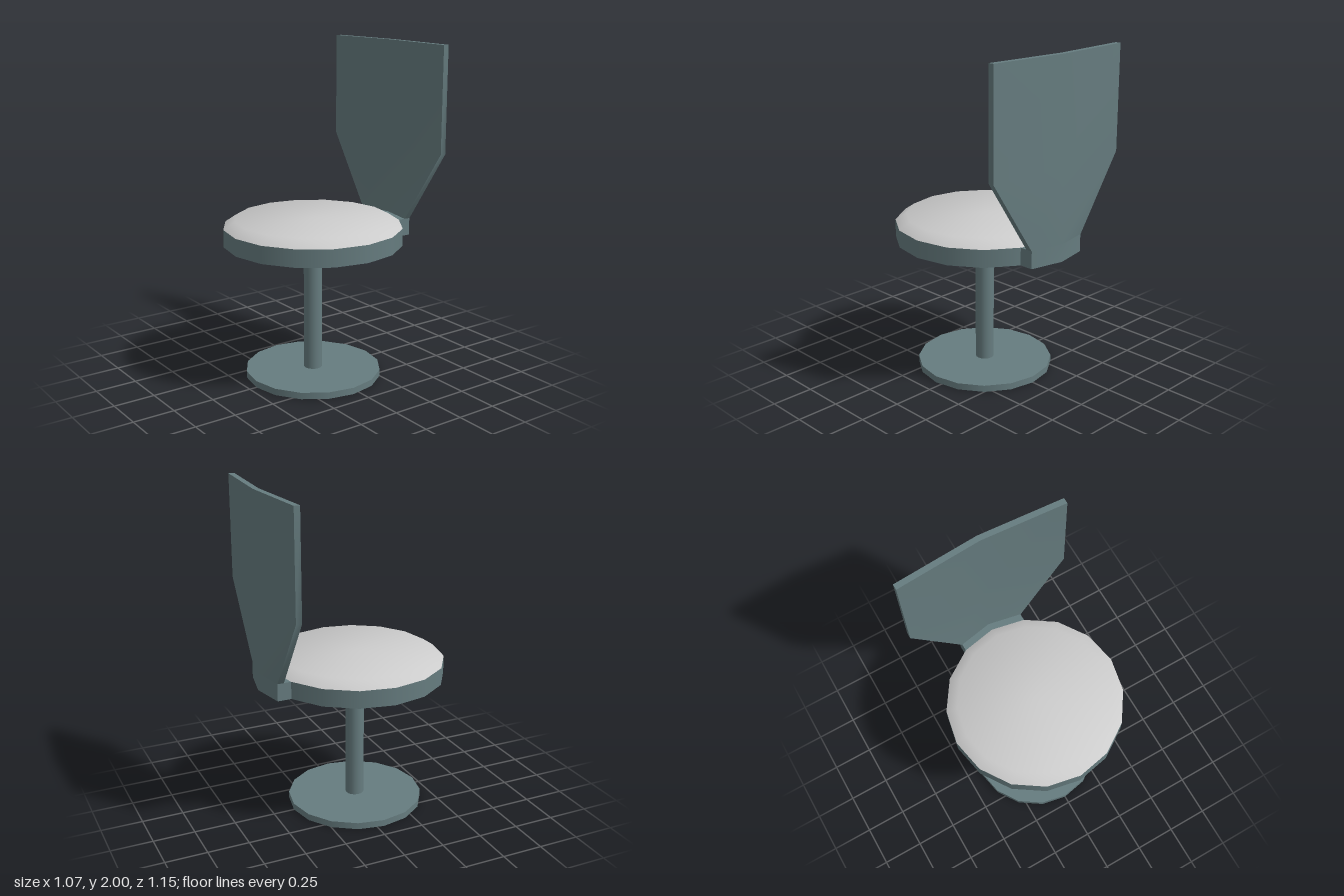
import * as THREE from 'three';
import { toCreasedNormals } from 'three/addons/utils/BufferGeometryUtils.js';

const SIDES = 16;

// Solid lofted through rows of [y, half width, front z side, front z middle, back z side, back z middle]
function loft(rows) {
  const positions = [];
  const index = [];
  for (const [y, w, frontSide, frontMid, backSide, backMid] of rows) {
    positions.push(-w, y, frontSide, 0, y, frontMid, w, y, frontSide);
    positions.push(w, y, backSide, 0, y, backMid, -w, y, backSide);
  }
  for (let r = 0; r < rows.length - 1; r++) {
    for (let j = 0; j < 6; j++) {
      const a = r * 6 + j;
      const b = r * 6 + (j + 1) % 6;
      index.push(a, b, b + 6, a, b + 6, a + 6);
    }
  }
  // end caps
  const t = (rows.length - 1) * 6;
  for (const [a, b, c] of [[0, 1, 4], [0, 4, 5], [1, 2, 3], [1, 3, 4]]) {
    index.push(a, c, b, t + a, t + b, t + c);
  }
  const geometry = new THREE.BufferGeometry();
  geometry.setAttribute('position', new THREE.Float32BufferAttribute(positions, 3));
  geometry.setIndex(index);
  return toCreasedNormals(geometry, 0.6);
}

export function createModel() {
  const model = new THREE.Group();
  model.name = 'chair';
  const shell = new THREE.MeshStandardMaterial({ color: 0x667c7f });
  const padding = new THREE.MeshStandardMaterial({ color: 0xcccccc });

  const add = (name, geometry, material, z = 0) => {
    const mesh = new THREE.Mesh(geometry, material);
    mesh.name = name;
    mesh.position.z = z;
    model.add(mesh);
  };
  const disc = (radius, y0, y1) =>
    new THREE.CylinderGeometry(radius, radius, y1 - y0, SIDES).translate(0, (y0 + y1) / 2, 0);

  // Pedestal and seat share one axis slightly in front of the centre
  const axisZ = 0.042;
  add('base', disc(0.412, 0, 0.04), shell, axisZ);
  add('column', disc(0.056, 0.04, 0.83), shell, axisZ);
  add('seatPan', disc(0.535, 0.83, 0.935), shell, axisZ);

  // Cushion with a bevelled rim
  const cushion = [[0.535, 0.935], [0.468, 0.98], [0, 0.98]].map(p => new THREE.Vector2(...p));
  add('cushion', toCreasedNormals(new THREE.LatheGeometry(cushion, SIDES), 0.9), padding, axisZ);

  // Bracket grows from the rear two facets of the seat pan
  add('backBracket', loft([
    [0.83, 0.205, -0.452, -0.493, -0.535, -0.577],
    [0.935, 0.205, -0.452, -0.493, -0.535, -0.577],
  ]), shell);

  // Backrest flares outward, then rises straight
  add('backrest', loft([
    [0.935, 0.207, -0.496, -0.536, -0.535, -0.577],
    [1.375, 0.505, -0.502, -0.536, -0.537, -0.57],
    [2, 0.505, -0.502, -0.536, -0.537, -0.57],
  ]), shell);

  return model;
}
